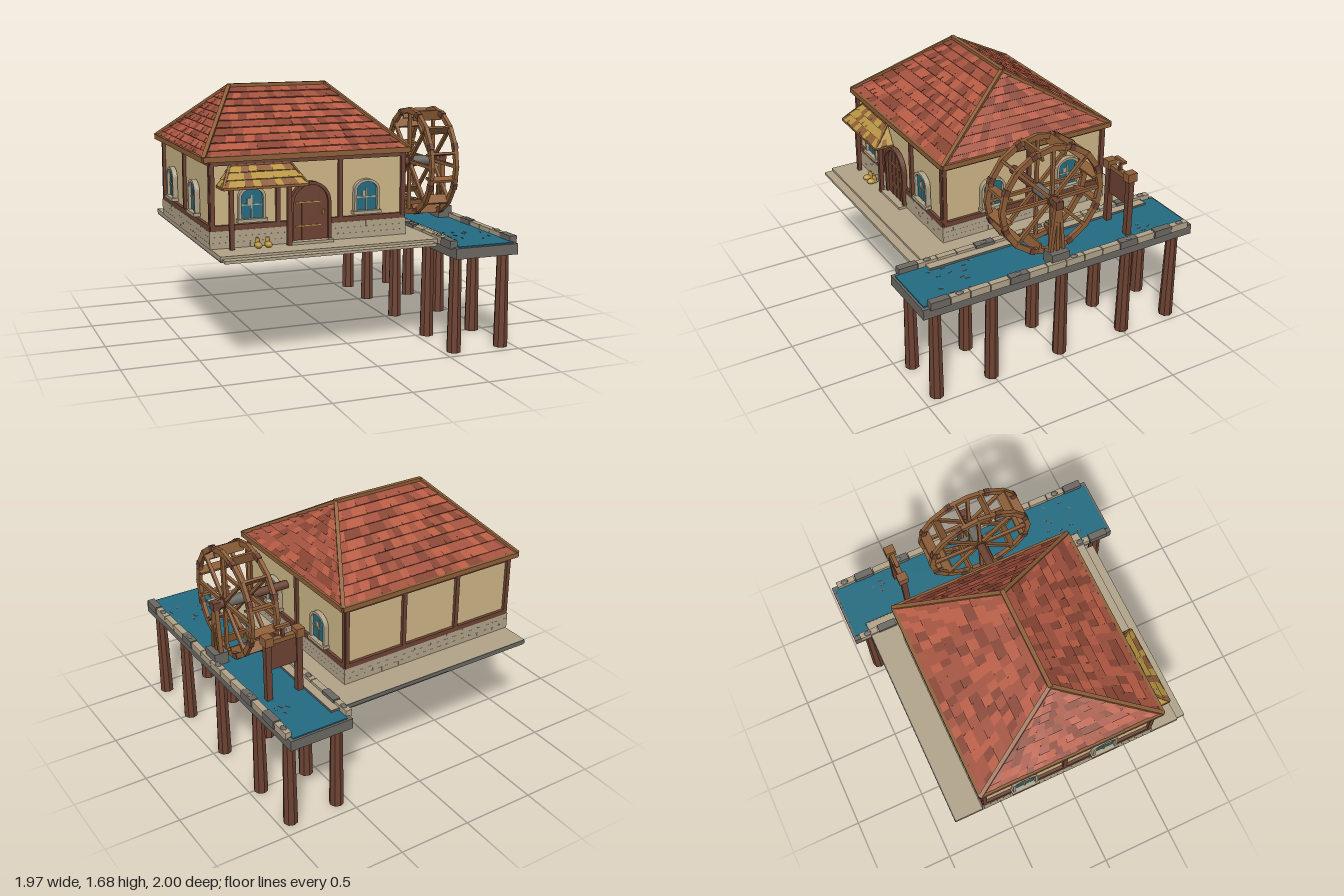
import * as THREE from 'three';

const mat = (name, color) => Object.assign(new THREE.MeshStandardMaterial({ color }), { name });
const M = {
  tileLight: mat('light roof tile', 0xb85c44), tileMid: mat('roof tile', 0xa3523e), tileDark: mat('dark roof tile', 0x884534),
  timber: mat('dark timber', 0x6c4232), wood: mat('oak wood', 0x8d5e38), wall: mat('plaster', 0xccb586),
  stone: mat('pale stone', 0xb0a288), grey: mat('grey stone', 0x6b6862), water: mat('water blue', 0x236a80),
  straw: mat('straw yellow', 0xb89442),
};
let seed = 7;
const rand = () => (seed = (seed * 16807) % 2147483647) / 2147483647;
const V = (x, y, z) => new THREE.Vector3(x, y, z);

function add(parent, name, geo, m, x = 0, y = 0, z = 0) {
  const mesh = new THREE.Mesh(geo, m);
  mesh.name = name;
  mesh.position.set(x, y, z);
  parent.add(mesh);
  return mesh;
}
// box from min and max corners
const box = (p, name, m, x0, x1, y0, y1, z0, z1) =>
  add(p, name, new THREE.BoxGeometry(x1 - x0, y1 - y0, z1 - z0), m, (x0 + x1) / 2, (y0 + y1) / 2, (z0 + z1) / 2);
// straight beam between two points; h is measured towards up
function beam(p, name, m, a, b, w, h = w, up = V(0, 1, 0)) {
  const mesh = add(p, name, new THREE.BoxGeometry(w, h, a.distanceTo(b)), m);
  mesh.position.copy(a).lerp(b, 0.5);
  mesh.quaternion.setFromRotationMatrix(new THREE.Matrix4().lookAt(b, a, up));
}
function group(parent, name, x = 0, y = 0, z = 0, ry = 0) {
  const g = new THREE.Group();
  g.name = name;
  g.position.set(x, y, z);
  g.rotation.y = ry;
  parent.add(g);
  return g;
}
// upright opening with a curved head
function arch(hw, h, rise, Type = THREE.Shape) {
  const s = new Type();
  s.moveTo(-hw, 0);
  s.lineTo(hw, 0);
  s.lineTo(hw, h - rise);
  s.absellipse(0, h - rise, hw, rise, 0, Math.PI, false);
  s.closePath();
  return s;
}
function archFrame(hw, h, rise, t, depth) {
  const s = arch(hw + t, h + t, rise + t);
  s.holes.push(arch(hw, h, rise, THREE.Path));
  return new THREE.ExtrudeGeometry(s, { depth, bevelEnabled: false, curveSegments: 10 });
}
function facets(pts) {
  const g = new THREE.BufferGeometry();
  g.setAttribute('position', new THREE.Float32BufferAttribute(pts.flatMap(p => [p.x, p.y, p.z]), 3));
  g.computeVertexNormals();
  return g;
}
// rows of overlapping tiles on slopes [bottomLeft, bottomRight, topRight, topLeft]
function tiledRoof(parent, name, slopes, rows, tileW, mats, base) {
  const lists = mats.map(() => []), under = [];
  const quad = (l, a, b, c, d) => l.push(a, b, c, a, c, d);
  for (const [a, b, c, d] of slopes) {
    const n = b.clone().sub(a).cross(d.clone().sub(a)).normalize();
    quad(under, a, b, c, d);
    for (let r = 0; r < rows; r++) {
      const at = (u, t) => a.clone().lerp(d, t).lerp(b.clone().lerp(c, t), u);
      const t0 = r / rows, t1 = (r + 1) / rows;
      const count = Math.max(2, Math.round(at(0, t0).distanceTo(at(1, t0)) / tileW));
      const cuts = [0];
      for (let i = 1; i < count; i++) cuts.push((i + (r % 2 ? 0.25 : -0.25) + (rand() - 0.5) * 0.3) / count);
      cuts.push(1);
      for (let i = 0; i < count; i++) {
        const list = lists[Math.floor(rand() * mats.length)], lift = 0.007 + rand() * 0.005;
        const up = (u, t, k) => at(u, t).addScaledVector(n, k);
        const [u, v] = [cuts[i], cuts[i + 1]];
        const p = up(u, t0, lift), q = up(v, t0, lift);
        quad(list, p, q, up(v, t1, 0.003), up(u, t1, 0.003));
        quad(list, at(u, t0), at(v, t0), q, p);
      }
    }
  }
  add(parent, name + 'Base', facets(under), base);
  lists.forEach((l, i) => l.length && add(parent, name + 'Tiles' + (i + 1), facets(l), mats[i]));
}

function addWindow(parent, x, z, ry) {
  const g = group(parent, 'window', x, 0.895, z, ry);
  add(g, 'windowPane', new THREE.ShapeGeometry(arch(0.072, 0.195, 0.05), 10), M.water, 0, 0, 0.014);
  add(g, 'windowFrame', archFrame(0.07, 0.19, 0.05, 0.017, 0.034), M.stone);
  box(g, 'mullion', M.stone, -0.004, 0.004, 0, 0.15, 0.013, 0.02);
  box(g, 'glazingBar', M.stone, -0.07, 0.07, 0.086, 0.094, 0.013, 0.02);
  box(g, 'paneGlint', M.stone, -0.028, -0.004, 0.094, 0.13, 0.013, 0.017);
  box(g, 'windowSill', M.stone, -0.097, 0.097, -0.018, 0.004, 0, 0.045);
}

function house(root) {
  const g = group(root, 'house');
  const X0 = -0.925, X1 = 0.375, Z0 = -0.675, Z1 = 0.545;
  box(g, 'walls', M.wall, X0 + 0.01, X1 - 0.01, 0.72, 1.27, Z0 + 0.01, Z1 - 0.01);
  // stone footing in staggered courses
  for (let r = 0; r < 3; r++) {
    const y0 = 0.72 + r * 0.037, e = 0.012;
    for (const [lo, hi, along] of [[X0 - e, X1 + e, true], [Z0 - e, Z1 + e, false]]) {
      let p = lo;
      for (let i = 0; p < hi - 0.001; i++) {
        let q = Math.min(hi, p + (i === 0 && r % 2 ? 0.07 : 0.13));
        if (hi - q < 0.03) q = hi;
        if (along) for (const z of [Z0, Z1]) box(g, 'footingStone', M.stone, p, q - 0.001, y0, y0 + 0.0365, z - e, z + e);
        else for (const x of [X0, X1]) box(g, 'footingStone', M.stone, x - e, x + e, y0, y0 + 0.0365, p, q - 0.001);
        p = q;
      }
    }
  }
  // timber frame
  for (const [y0, y1] of [[0.83, 0.864], [1.235, 1.268]]) {
    for (const z of [Z0, Z1]) box(g, 'wallBeam', M.timber, X0 - 0.005, X1 + 0.005, y0, y1, z - 0.012, z + 0.01);
    for (const x of [X0, X1]) box(g, 'wallBeam', M.timber, x - 0.01, x + 0.01, y0, y1, Z0, Z1);
  }
  for (const z of [Z0, Z1])
    for (const x of [X0 + 0.01, -0.49, -0.07, X1 - 0.01]) box(g, 'wallPost', M.timber, x - 0.014, x + 0.014, 0.85, 1.25, z - 0.012, z + 0.012);
  for (const x of [X0, X1])
    for (const z of [Z0 + 0.01, -0.09, Z1 - 0.01]) box(g, 'wallPost', M.timber, x - 0.01, x + 0.01, 0.85, 1.25, z - 0.014, z + 0.014);
  // windows
  for (const x of [-0.665, 0.105]) addWindow(g, x, Z1 - 0.005, 0);
  for (const z of [0.19, -0.385]) {
    addWindow(g, X1 - 0.005, z, Math.PI / 2);
    addWindow(g, X0 + 0.005, z, -Math.PI / 2);
  }
  // arched door
  const d = group(g, 'door', -0.28, 0.725, Z1);
  add(d, 'doorFrame', archFrame(0.115, 0.365, 0.115, 0.02, 0.035), M.timber);
  add(d, 'doorPanel', new THREE.ExtrudeGeometry(arch(0.115, 0.365, 0.115), { depth: 0.018, bevelEnabled: false }), M.timber);
  for (const y of [0.1, 0.25]) box(d, 'doorStrap', M.straw, -0.1, 0.07, y, y + 0.006, 0.018, 0.024);
  for (let i = -1; i <= 1; i++) box(d, 'doorBatten', M.timber, i * 0.055 - 0.004, i * 0.055 + 0.004, 0, 0.34, 0.018, 0.021);
  box(d, 'doorHandle', M.straw, 0.08, 0.092, 0.17, 0.2, 0.018, 0.03);
  box(d, 'doorStep', M.stone, -0.14, 0.14, -0.005, 0.012, 0, 0.07);
}

function mainRoof(root) {
  const g = group(root, 'roof', -0.28, 0, -0.07);
  const w = 0.69, l = 0.633, y = 1.277, t = 1.665, s = 0.335;
  const fl = V(-w, y, l), fr = V(w, y, l), br = V(w, y, -l), bl = V(-w, y, -l), rl = V(-s, t, 0), rr = V(s, t, 0);
  tiledRoof(g, 'roof', [[fl, fr, rr, rl], [br, bl, rl, rr], [fr, br, rr, rr], [bl, fl, rl, rl]], 10, 0.062,
    [M.tileLight, M.tileMid, M.tileMid, M.tileDark], M.tileDark);
  box(g, 'soffit', M.timber, -w, w, 1.262, 1.272, -l, l);
  const eaves = [fl, fr, br, bl];
  eaves.forEach((p, i) => {
    beam(g, 'eaveTrim', M.wood, p, eaves[(i + 1) % 4], 0.022, 0.034);
    beam(g, 'hipTrim', M.wood, p.clone().setY(y + 0.006), (i === 0 || i === 3 ? rl : rr).clone().setY(t + 0.004), 0.026);
  });
  beam(g, 'ridgeTrim', M.wood, V(-s - 0.01, t + 0.004, 0), V(s + 0.01, t + 0.004, 0), 0.028);
}

function porch(root) {
  const g = group(root, 'porch');
  const a = V(-0.88, 1.11, 0.678), b = V(-0.335, 1.11, 0.678), c = V(-0.41, 1.233, 0.55), d = V(-0.8, 1.233, 0.55);
  const al = V(-0.88, 1.11, 0.55), br = V(-0.335, 1.11, 0.55);
  tiledRoof(g, 'porch', [[a, b, c, d], [b, br, c, c], [al, a, d, d]], 3, 0.05, [M.straw, M.straw, M.straw, M.straw, M.wood], M.straw);
  add(g, 'porchCeiling', facets([a, al, br, a, br, b]), M.timber);
  for (const [p, q] of [[a, b], [a, al], [b, br], [a, d], [b, c], [d, c]]) beam(g, 'porchTrim', M.wood, p, q, 0.016);
  for (const x of [-0.81, -0.435]) box(g, 'porchPost', M.timber, x - 0.014, x + 0.014, 0.72, 1.11, 0.59, 0.618);
  // pair of clogs
  for (const x of [-0.643, -0.577]) {
    add(g, 'clog', new THREE.SphereGeometry(0.025, 10, 6), M.straw, x, 0.738, 0.615).scale.set(1, 0.8, 1.5);
    add(g, 'clogHeel', new THREE.CylinderGeometry(0.012, 0.022, 0.055, 8), M.straw, x, 0.755, 0.595);
  }
}

function channel(root) {
  const g = group(root, 'channel');
  box(g, 'yard', M.stone, -0.93, 0.61, 0.695, 0.72, -0.88, 0.77);
  box(g, 'yardBase', M.grey, -0.93, 0.55, 0.685, 0.695, -0.88, 0.77);
  box(g, 'frontStep', M.stone, -0.92, 0.48, 0.687, 0.705, 0.77, 0.83);
  box(g, 'yardEdge', M.grey, -0.93, 0.615, 0.695, 0.721, -0.886, -0.878);
  box(g, 'yardEdge', M.grey, 0.608, 0.615, 0.695, 0.721, -0.88, 0.77);
  box(g, 'channelBed', M.grey, 0.53, 0.97, 0.63, 0.7, -1, 1);
  box(g, 'waterSurface', M.water, 0.56, 0.945, 0.7, 0.708, -0.985, 0.985);
  // kerb stones with a few grey blocks
  [[0.512, [1, 5, 9, 13]], [0.939, [1, 3, 9, 13]]].forEach(([x, greys]) => {
    for (let i = 0; i < 14; i++) {
      const z = -0.96 + i * 0.1371, k = greys.includes(i), e = k ? 0.004 : 0;
      box(g, 'kerbStone', k ? M.grey : M.stone, x - e, x + 0.042 + e, 0.69, 0.738 + e, z + 0.002, z + 0.133);
    }
    for (const z of [-0.9, -0.49, -0.07, 0.34, 0.75])
      add(g, 'kerbPebble', new THREE.SphereGeometry(0.018, 8, 6), M.grey, x + 0.021, 0.738, z).scale.set(1, 0.6, 1.5);
  });
  // ripples
  for (let i = 0; i < 16; i++) {
    const r = add(g, 'ripple', new THREE.BoxGeometry(0.008, 0.003, 0.03), M.grey, 0.63 + rand() * 0.28, 0.709, (i < 4 ? -0.75 : 0.42) + rand() * (i < 4 ? 0.2 : 0.45));
    r.rotation.y = rand() - 0.5;
  }
  // piles
  for (const x of [0.577, 0.918])
    for (const z of [0.9, 0.505, -0.01, -0.51, -0.885])
      add(g, 'pile', new THREE.CylinderGeometry(0.039, 0.048, 0.635, 8).toNonIndexed(), M.timber, x, 0.3175, z).geometry.computeVertexNormals();
}

function waterWheel(root) {
  const g = group(root, 'waterWheel', 0.748, 1.115, 0.03);
  const polar = (x, r, a) => V(x, Math.cos(a) * r, Math.sin(a) * r), side = V(1, 0, 0), step = Math.PI / 8;
  for (const x of [-0.09, 0.09]) {
    for (let i = 0; i < 16; i++) {
      beam(g, 'rimSegment', M.wood, polar(x, 0.36, (i - 0.04) * step), polar(x, 0.36, (i + 1.04) * step), 0.036, 0.026, side);
      if (i % 2) beam(g, 'rimJoint', M.timber, polar(x, 0.358, (i - 0.15) * step), polar(x, 0.358, (i + 0.15) * step), 0.04, 0.032, side);
    }
    for (let i = 0; i < 8; i++) beam(g, 'spoke', M.wood, polar(x, 0.02, i * Math.PI / 4), polar(x, 0.35, i * Math.PI / 4), 0.022, 0.022, side);
  }
  for (let i = 0; i < 12; i++) {
    const a = (i + 0.5) * Math.PI / 6;
    const p = add(g, 'paddle', new THREE.BoxGeometry(0.21, 0.07, 0.016), M.wood);
    p.position.copy(polar(0, 0.337, a));
    p.rotation.x = a;
  }
  const rod = (name, m, r, x0, x1, n) => {
    add(g, name, new THREE.CylinderGeometry(r, r, x1 - x0, n), m, (x0 + x1) / 2, 0, 0).rotation.z = Math.PI / 2;
  };
  rod('axle', M.timber, 0.03, -0.37, 0.175, 8);
  rod('hub', M.grey, 0.037, -0.078, 0.078, 16);
  for (const x of [-0.09, 0.09]) rod('hubCollar', M.timber, 0.04, x - 0.016, x + 0.016, 10);
  // axle support on a stone block
  box(g, 'supportBlock', M.grey, 0.115, 0.215, -0.41, -0.325, -0.065, 0.065);
  for (const z of [-0.045, 0, 0.045]) beam(g, 'supportLeg', M.wood, V(0.16, -0.33, z), V(0.16, 0.01, z * 0.2), 0.022, 0.03, side);
  box(g, 'axleBearing', M.timber, 0.135, 0.185, -0.027, 0.027, -0.027, 0.027);
}

function sluiceGate(root) {
  const g = group(root, 'sluiceGate', 0.75, 0, -0.55);
  for (const x of [-0.11, 0.11]) {
    box(g, 'gatePost', M.timber, x - 0.02, x + 0.02, 0.7, 1.1, -0.02, 0.02);
    box(g, 'postCap', M.wood, x - 0.029, x + 0.029, 1.1, 1.16, -0.035, 0.035);
  }
  box(g, 'crossBeam', M.wood, -0.09, 0.09, 1.1, 1.13, -0.018, 0.018);
  box(g, 'gateBoard', M.timber, -0.092, 0.092, 0.92, 1.1, -0.01, 0.01);
  box(g, 'liftRod', M.timber, -0.01, 0.01, 1.08, 1.2, -0.01, 0.01);
  box(g, 'liftHandle', M.wood, -0.05, 0.05, 1.19, 1.208, -0.013, 0.013);
}

export function createModel() {
  seed = 7;
  const root = new THREE.Group();
  root.name = 'watermill';
  [house, mainRoof, porch, channel, waterWheel, sluiceGate].forEach(build => build(root));
  return root;
}
